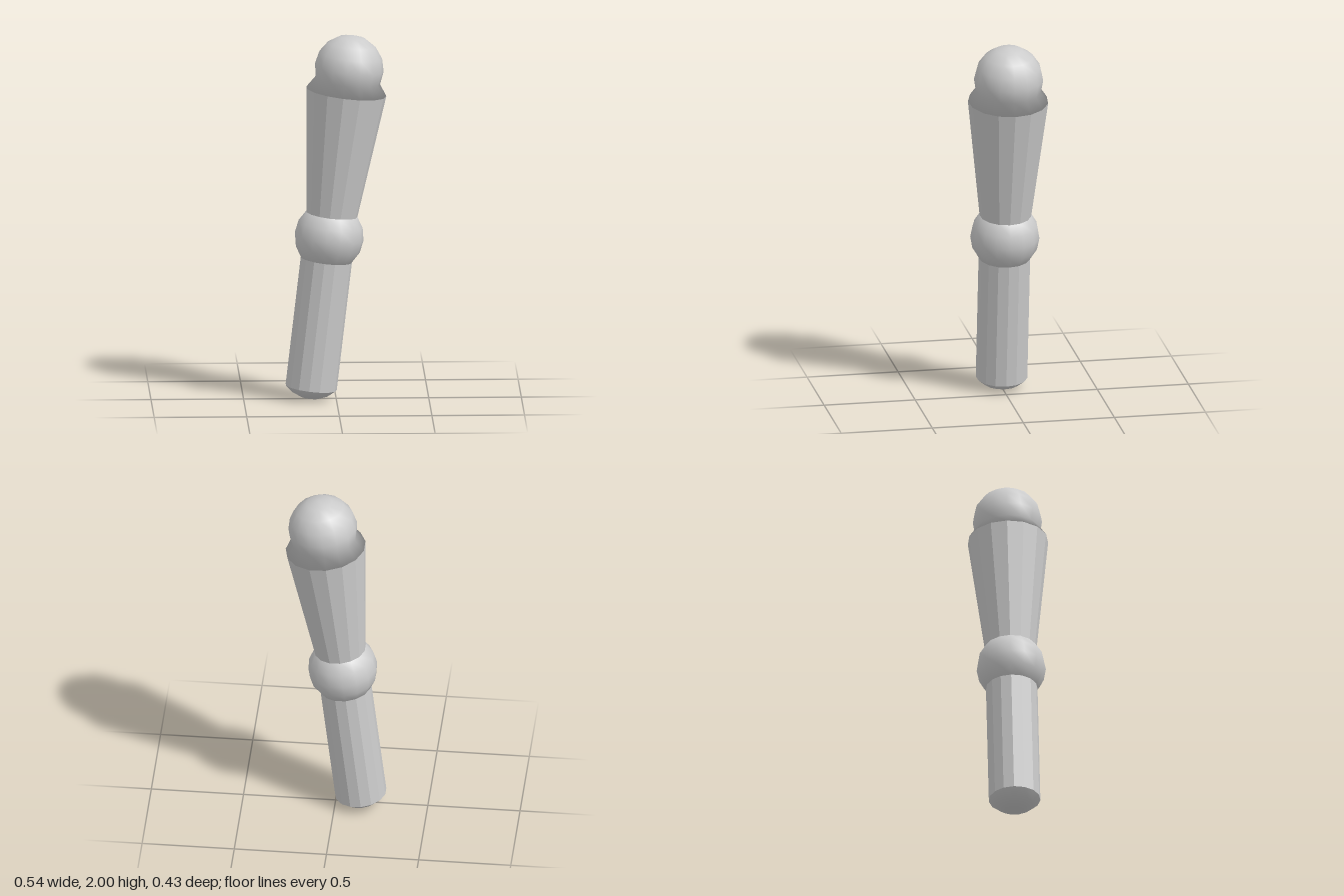
import * as THREE from 'three';

const SIDES = 15;
const BALL = 0.188; // joint radius
const TUBE = 0.14; // tube radius where it meets a joint
const RIM = 0.218; // wide end of the upper segment
const TRIM = Math.asin(TUBE / BALL); // polar angle of the ring where tube and joint meet
const DROP = BALL * Math.cos(TRIM); // height of that ring from the joint's centre
const MIDDLE = 0.707; // joint heights along the limb axis
const TOP = 1.635;

const smooth = new THREE.MeshStandardMaterial({ color: 0xcccccc, side: THREE.DoubleSide });
const faceted = new THREE.MeshStandardMaterial({
  color: 0xcccccc, flatShading: true, side: THREE.DoubleSide,
});

// Part of a joint ball between two polar angles, one meridian facing +x
function ball(name, y, from, to, bands) {
  const geometry = new THREE.SphereGeometry(BALL, SIDES, bands, 0, Math.PI * 2, from, to - from);
  const mesh = new THREE.Mesh(geometry.rotateY(Math.PI), smooth);
  mesh.name = name;
  mesh.position.y = y;
  return mesh;
}

// Open tapered tube between two heights along the limb axis, one corner facing +x
function tube(name, y0, r0, y1, r1) {
  const geometry = new THREE.CylinderGeometry(r1, r0, y1 - y0, SIDES, 1, true).rotateY(Math.PI / 2);
  const mesh = new THREE.Mesh(geometry, faceted);
  mesh.name = name;
  mesh.position.y = (y0 + y1) / 2;
  return mesh;
}

export function createModel() {
  const limb = new THREE.Group();
  limb.name = 'limb';

  // Top joint: its lowest ring is widened into a collar that meets the rim
  const upperJoint = ball('upperJoint', TOP, 0, Math.PI - TRIM, 6);
  const points = upperJoint.geometry.attributes.position;
  for (let i = 0; i < points.count; i++) {
    if (points.getY(i) < -DROP + 0.001) {
      points.setX(i, points.getX(i) * RIM / TUBE);
      points.setZ(i, points.getZ(i) * RIM / TUBE);
    }
  }

  // Rounded bottom, two segments and the joint between them
  limb.add(
    ball('bottomCap', 0, Math.PI - TRIM, Math.PI, 3),
    tube('lowerSegment', -DROP, TUBE, MIDDLE - DROP, TUBE),
    ball('middleJoint', MIDDLE, TRIM, Math.PI - TRIM, 4),
    tube('upperSegment', MIDDLE + DROP, TUBE, TOP - DROP, RIM),
    upperJoint,
  );

  // The whole limb leans towards +x
  limb.position.set(-0.121, BALL, 0);
  limb.rotation.z = THREE.MathUtils.degToRad(-6.68);

  const model = new THREE.Group();
  model.name = 'jointedLimb';
  model.add(limb);
  return model;
}
